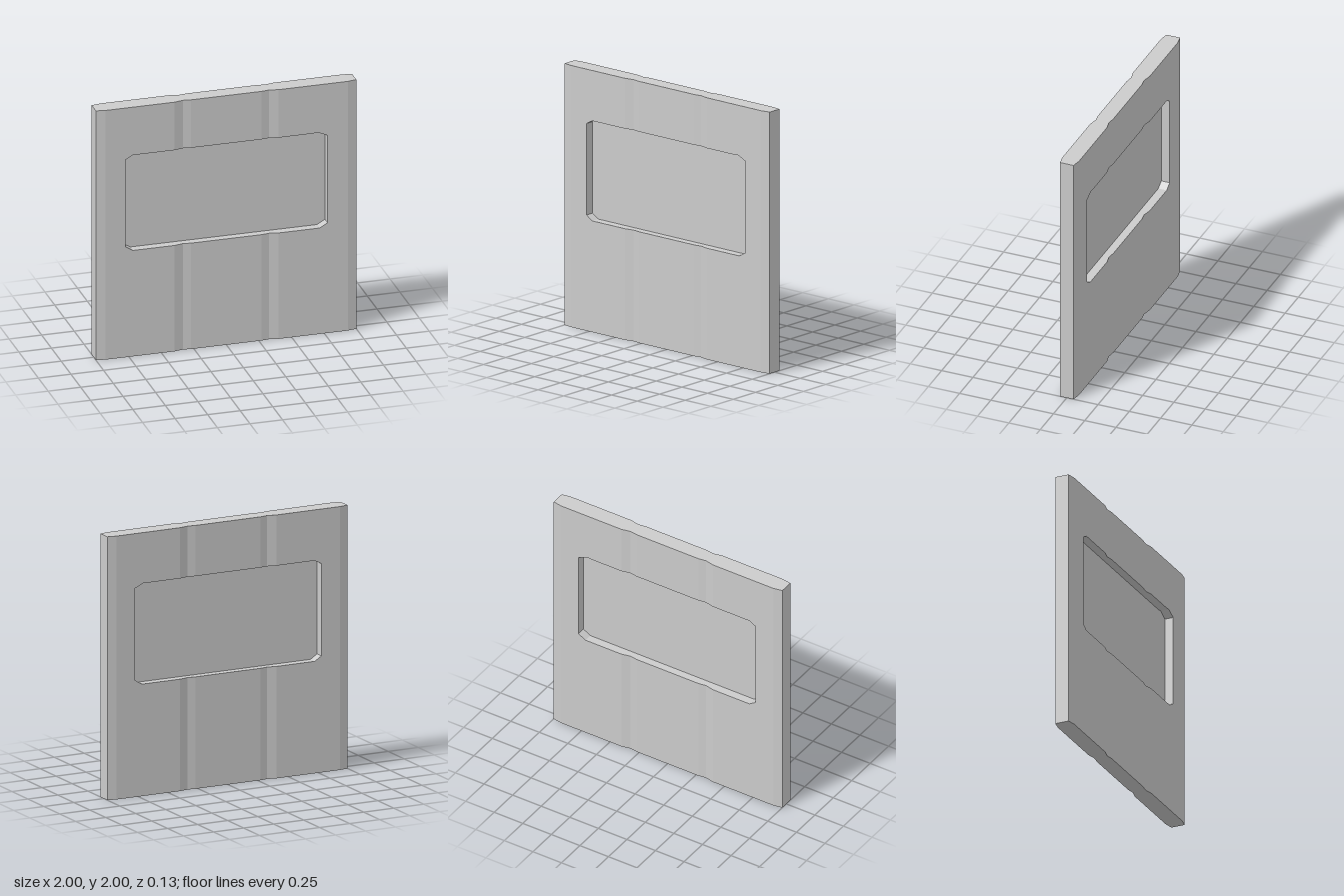
import * as THREE from 'three';

// half thickness of the panel across its width (x, z): bevelled edges and two grooves
const half = [[0.27, 0.061], [0.33, 0.052], [0.4, 0.067], [0.93, 0.067], [1, 0.054]];
const depth = [...half.map(([x, z]) => [-x, z]).reverse(), ...half];

// lower and upper outlines of the window opening (x, y)
const sill = [[-0.775, 0.885], [-0.72, 0.85], [0.715, 0.85], [0.775, 0.885]];
const head = [[-0.775, 1.585], [-0.72, 1.615], [0.66, 1.615], [0.7, 1.62], [0.775, 1.585]];
const JAMB = 0.775, HEIGHT = 2;

// linear interpolation along a list of points
function at(points, x) {
  for (let i = 1; i < points.length; i++) {
    const [x0, y0] = points[i - 1], [x1, y1] = points[i];
    if (x <= x1) return y0 + (y1 - y0) * (x - x0) / (x1 - x0);
  }
  return points[points.length - 1][1];
}

function buildPanel() {
  const pos = [];
  // corners run counter-clockwise seen from outside
  const quad = (a, b, c, d) => pos.push(...a, ...b, ...c, ...a, ...c, ...d);
  // front and back face of one strip
  const faces = (x0, x1, z0, z1, b0, b1, t0, t1) => {
    quad([x0, b0, z0], [x1, b1, z1], [x1, t1, z1], [x0, t0, z0]);
    quad([x1, b1, -z1], [x0, b0, -z0], [x0, t0, -z0], [x1, t1, -z1]);
  };
  // surface across the thickness, facing up or down
  const across = (x0, x1, z0, z1, y0, y1, up) => {
    const c = [[x0, y0, z0], [x1, y1, z1], [x1, y1, -z1], [x0, y0, -z0]];
    quad(...(up ? c : c.reverse()));
  };
  // vertical surface across the thickness, facing +x or -x
  const upright = (x, y0, y1, right) => {
    const z = at(depth, x);
    const c = [[x, y0, z], [x, y0, -z], [x, y1, -z], [x, y1, z]];
    quad(...(right ? c : c.reverse()));
  };

  const xs = [...new Set([...depth, ...sill, ...head].map(p => p[0]))].sort((a, b) => a - b);
  for (let i = 1; i < xs.length; i++) {
    const x0 = xs[i - 1], x1 = xs[i];
    const z0 = at(depth, x0), z1 = at(depth, x1);
    across(x0, x1, z0, z1, HEIGHT, HEIGHT, true);
    across(x0, x1, z0, z1, 0, 0, false);
    if (Math.abs((x0 + x1) / 2) > JAMB) {
      faces(x0, x1, z0, z1, 0, 0, HEIGHT, HEIGHT);
    } else {
      const s0 = at(sill, x0), s1 = at(sill, x1), h0 = at(head, x0), h1 = at(head, x1);
      faces(x0, x1, z0, z1, 0, 0, s0, s1);
      faces(x0, x1, z0, z1, h0, h1, HEIGHT, HEIGHT);
      across(x0, x1, z0, z1, s0, s1, true);
      across(x0, x1, z0, z1, h0, h1, false);
    }
  }
  // outer edges and window jambs
  upright(1, 0, HEIGHT, true);
  upright(-1, 0, HEIGHT, false);
  upright(-JAMB, sill[0][1], head[0][1], true);
  upright(JAMB, sill[0][1], head[0][1], false);

  const geo = new THREE.BufferGeometry();
  geo.setAttribute('position', new THREE.Float32BufferAttribute(pos, 3));
  geo.computeVertexNormals();
  return geo;
}

export function createModel() {
  const group = new THREE.Group();
  group.name = 'windowPanel';

  // grooved wall panel with the window opening
  const panel = new THREE.Mesh(buildPanel(),
    new THREE.MeshStandardMaterial({ color: 0xcccccc, flatShading: true }));
  panel.name = 'wallPanel';

  // thin pane in the middle of the opening
  const outline = [...sill, ...[...head].reverse()].map(([x, y]) => new THREE.Vector2(x, y));
  const pane = new THREE.Mesh(new THREE.ShapeGeometry(new THREE.Shape(outline)),
    new THREE.MeshStandardMaterial({ color: 0xcccccc, side: THREE.DoubleSide }));
  pane.name = 'windowPane';

  group.add(panel, pane);
  return group;
}
